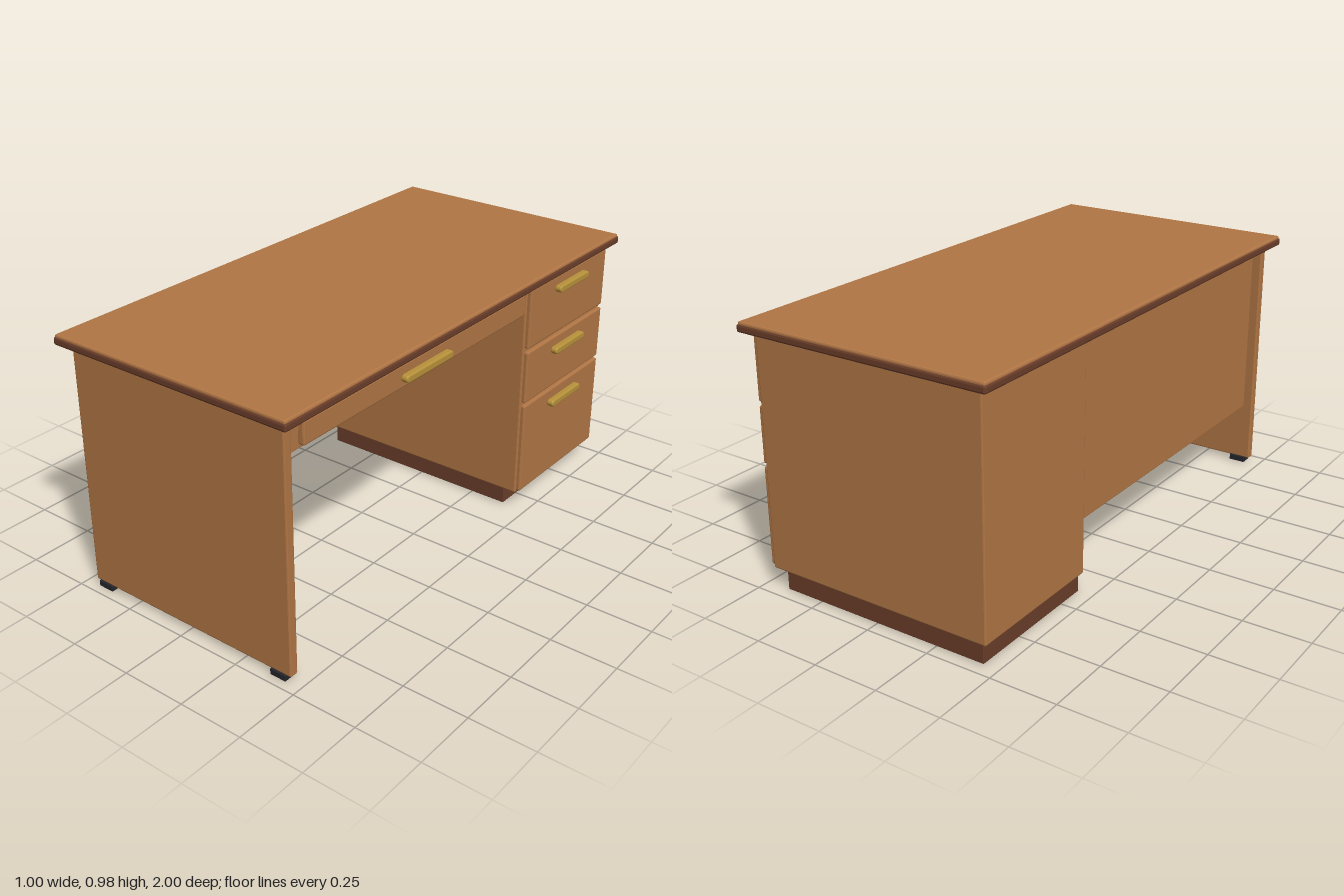
import * as THREE from 'three';
import { RoundedBoxGeometry } from 'three/addons/geometries/RoundedBoxGeometry.js';

const paint = (name, color) => {
  const m = new THREE.MeshStandardMaterial({ color });
  m.name = name;
  return m;
};

export function createModel() {
  const desk = new THREE.Group();
  desk.name = 'desk';
  const wood = paint('wood', 0xb17645);
  const darkWood = paint('dark wood', 0x6b3e2a);
  const brass = paint('brass', 0xb8923a);
  const rubber = paint('black rubber', 0x24262b);

  // Box with eased edges, given by its limits on each axis
  function block(name, material, [x0, x1], [y0, y1], [z0, z1], bevel = 0.005) {
    const geometry = new RoundedBoxGeometry(x1 - x0, y1 - y0, z1 - z0, 1, bevel);
    geometry.computeVertexNormals(); // flat facets
    const mesh = new THREE.Mesh(geometry, material);
    mesh.name = name;
    mesh.position.set((x0 + x1) / 2, (y0 + y1) / 2, (z0 + z1) / 2);
    desk.add(mesh);
  }

  // Bar pull with round ends, standing out along +x
  function handle(y, z, length) {
    const r = 0.009, half = length / 2 - 0.014;
    const shape = new THREE.Shape();
    shape.absarc(half, 0, r, -Math.PI / 2, Math.PI / 2);
    shape.absarc(-half, 0, r, Math.PI / 2, Math.PI * 1.5);
    const geometry = new THREE.ExtrudeGeometry(shape, {
      depth: 0.016, bevelThickness: 0.006, bevelSize: 0.005, bevelSegments: 2, curveSegments: 8,
    });
    const mesh = new THREE.Mesh(geometry, brass);
    mesh.name = 'drawerHandle';
    mesh.rotation.y = Math.PI / 2;
    mesh.position.set(0.476, y, z);
    desk.add(mesh);
  }

  // Desktop: dark edge band with the wooden surface on it
  block('topEdgeBand', darkWood, [-0.5, 0.5], [0.943, 0.972], [-1, 1], 0.007);
  block('desktop', wood, [-0.496, 0.496], [0.962, 0.981], [-0.996, 0.996], 0.006);

  // Side panel on two feet
  block('sidePanel', wood, [-0.457, 0.457], [0.02, 0.945], [0.925, 0.96]);
  for (const x of [-0.406, 0.406])
    block('foot', rubber, [x - 0.033, x + 0.033], [0, 0.024], [0.918, 0.967], 0.003);

  // Drawer pedestal on its plinth
  block('pedestal', wood, [-0.457, 0.457], [0.075, 0.945], [-0.96, -0.387]);
  block('plinth', darkWood, [-0.443, 0.4], [0.004, 0.08], [-0.953, -0.398], 0.002);

  // Back panel and the drawer box over the knee space
  block('backPanel', wood, [-0.42, -0.396], [0.25, 0.945], [-0.39, 0.928], 0.003);
  block('kneeDrawerBox', wood, [-0.4, 0.452], [0.83, 0.945], [-0.39, 0.928], 0.002);

  // Drawer fronts with their handles
  const drawers = [
    { y: [0.843, 0.928], z: [-0.348, 0.888], grip: 0.88, length: 0.265 },
    { y: [0.693, 0.928], z: [-0.954, -0.396], grip: 0.88, length: 0.215 },
    { y: [0.468, 0.678], z: [-0.954, -0.396], grip: 0.627, length: 0.215 },
    { y: [0.083, 0.455], z: [-0.954, -0.396], grip: 0.402, length: 0.215 },
  ];
  for (const { y, z, grip, length } of drawers) {
    block('drawerFront', wood, [0.448, 0.473], y, z, 0.006);
    handle(grip, (z[0] + z[1]) / 2, length);
  }

  return desk;
}
